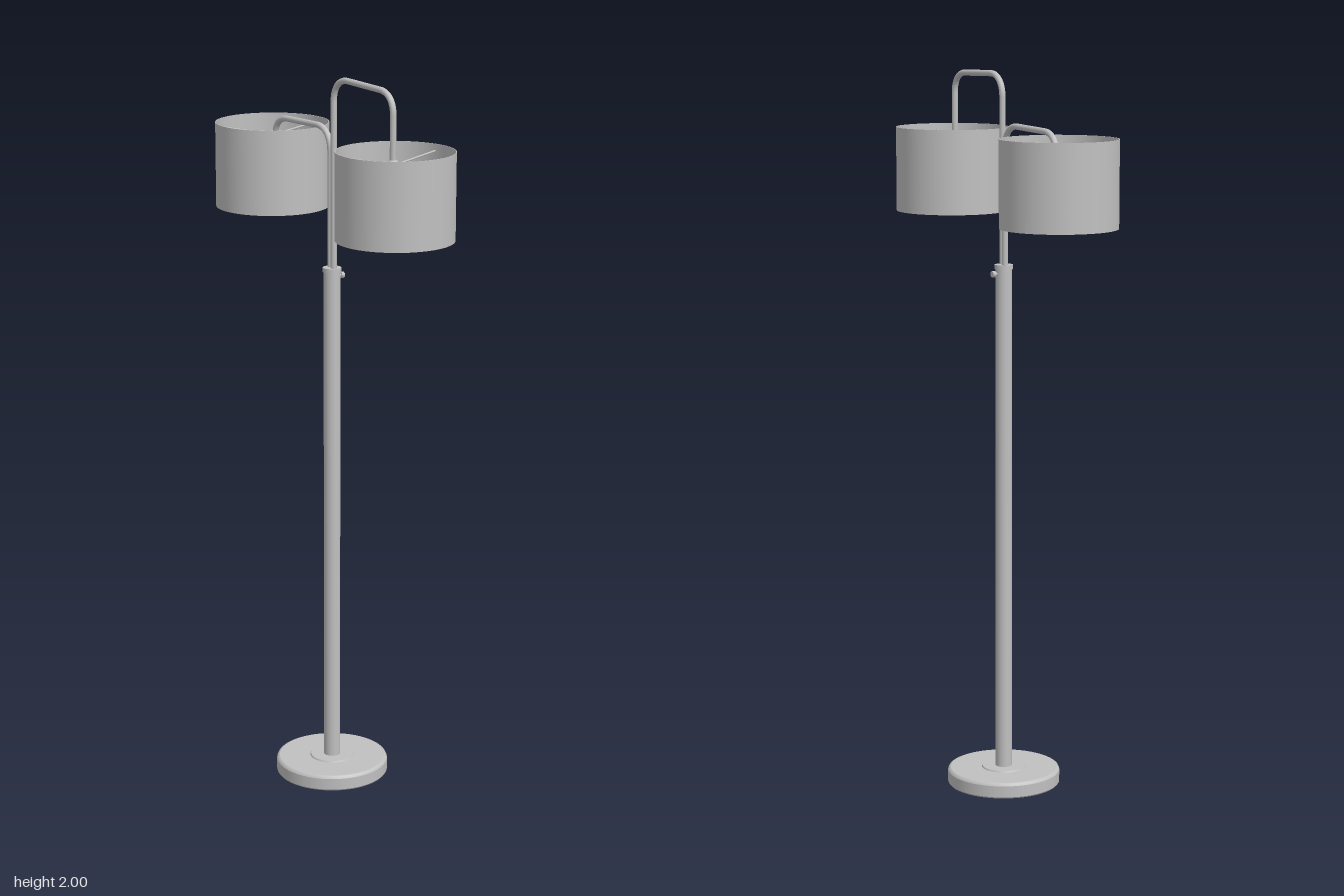
import * as THREE from 'three';

const V = (x, y, z) => new THREE.Vector3(x, y, z);

export function createModel() {
  const lamp = new THREE.Group();
  lamp.name = 'floorLamp';
  const metal = new THREE.MeshStandardMaterial({ color: 0xc0c0c0, side: THREE.DoubleSide });
  metal.name = 'lightGrey';

  const add = (parent, name, geometry, x = 0, y = 0, z = 0) => {
    const mesh = new THREE.Mesh(geometry, metal);
    mesh.name = name;
    mesh.position.set(x, y, z);
    parent.add(mesh);
    return mesh;
  };
  const lathe = (points, segments = 48) =>
    new THREE.LatheGeometry(points.map(([r, y]) => new THREE.Vector2(r, y)), segments);

  // Straight rod between two points
  const rod = (parent, name, a, b, r) => {
    const dir = b.clone().sub(a);
    const mesh = add(parent, name, new THREE.CylinderGeometry(r, r, dir.length(), 10));
    mesh.position.copy(a).add(b).multiplyScalar(0.5);
    mesh.quaternion.setFromUnitVectors(V(0, 1, 0), dir.normalize());
  };

  // Round base with a softened rim; doubled points keep the edges crisp
  add(lamp, 'base', lathe([
    [0, 0], [0.155, 0], [0.155, 0], [0.158, 0.004], [0.158, 0.004], [0.158, 0.036],
    [0.158, 0.036], [0.155, 0.042], [0.15, 0.044], [0.15, 0.044], [0, 0.044],
  ], 64));
  add(lamp, 'baseCollar', new THREE.CylinderGeometry(0.06, 0.062, 0.004, 48), 0, 0.046, 0);

  // Post, cap and side knob
  add(lamp, 'post', new THREE.CylinderGeometry(0.023, 0.023, 1.42, 40), 0, 0.755, 0);
  add(lamp, 'postCap', new THREE.CylinderGeometry(0.0255, 0.0255, 0.012, 40), 0, 1.469, 0);
  rod(lamp, 'knobStem', V(0.02, 1.45, 0), V(0.029, 1.45, 0), 0.005);
  rod(lamp, 'knob', V(0.028, 1.45, 0), V(0.037, 1.45, 0), 0.009);

  // Bent arm: straight runs joined by rounded corners
  const arm = (name, side, top, drop) => {
    const x0 = -0.003 * side, x1 = -0.007 * side;
    const z0 = 0.012 * side, z1 = 0.286 * side;
    const c = 0.062, d = Math.min(c, top - drop);
    const path = new THREE.CurvePath();
    const a = V(x0, top - c, z0), b = V(x0, top, z0 + c * side);
    const e = V(x1, top - 0.004, z1 - c * side), f = V(x1, top - d, z1);
    path.add(new THREE.LineCurve3(V(x0, 1.44, z0), a));
    path.add(new THREE.CubicBezierCurve3(a, V(x0, top - c * 0.4, z0), V(x0, top, z0 + c * 0.4 * side), b));
    path.add(new THREE.LineCurve3(b, e));
    path.add(new THREE.CubicBezierCurve3(e, V(x1, top - 0.004, z1 - c * 0.4 * side), V(x1, top - d * 0.4, z1), f));
    path.add(new THREE.LineCurve3(f, V(x1, 1.785, z1)));
    add(lamp, name, new THREE.TubeGeometry(path, 110, 0.0085, 12));
  };
  arm('frontArm', 1, 1.99, 1.84);
  arm('backArm', -1, 1.854, 1.79);

  // Open drum shade with its three spokes, socket and bulb
  const R = 0.158;
  const shadeUnit = (name, side, z, spokeEnds) => {
    const unit = new THREE.Group();
    unit.name = name;
    unit.position.set(0, 0, z);
    lamp.add(unit);
    add(unit, 'shade', lathe([
      [R - 0.002, 1.6], [R, 1.6], [R, 1.6], [R, 1.834], [R, 1.834],
      [R - 0.002, 1.834], [R - 0.002, 1.834], [R - 0.002, 1.6],
    ], 64));
    const hx = -0.007 * side;
    const hub = V(hx, 1.797, 0);
    for (const [ex, ez] of spokeEnds) {
      const end = V(ex, 0, ez).setLength(R - 0.001);
      end.y = 1.815;
      rod(unit, 'spoke', hub, end, 0.0028);
    }
    add(unit, 'socket', lathe([
      [0, 1.812], [0.01, 1.811], [0.014, 1.803], [0.029, 1.768], [0.029, 1.768],
      [0.029, 1.735], [0.029, 1.735], [0, 1.735],
    ], 32), hx, 0, 0);
    add(unit, 'bulb', lathe([
      [0.014, 1.737], [0.016, 1.722], [0.024, 1.705], [0.029, 1.687], [0.028, 1.673],
      [0.021, 1.659], [0.011, 1.652], [0, 1.65],
    ], 32), hx, 0, 0);
  };
  shadeUnit('frontShade', 1, 0.288, [[0.155, -0.034], [-0.113, -0.11], [-0.034, 0.154]]);
  shadeUnit('backShade', -1, -0.29, [[0.157, -0.022], [-0.11, -0.113], [-0.02, 0.156]]);

  return lamp;
}
